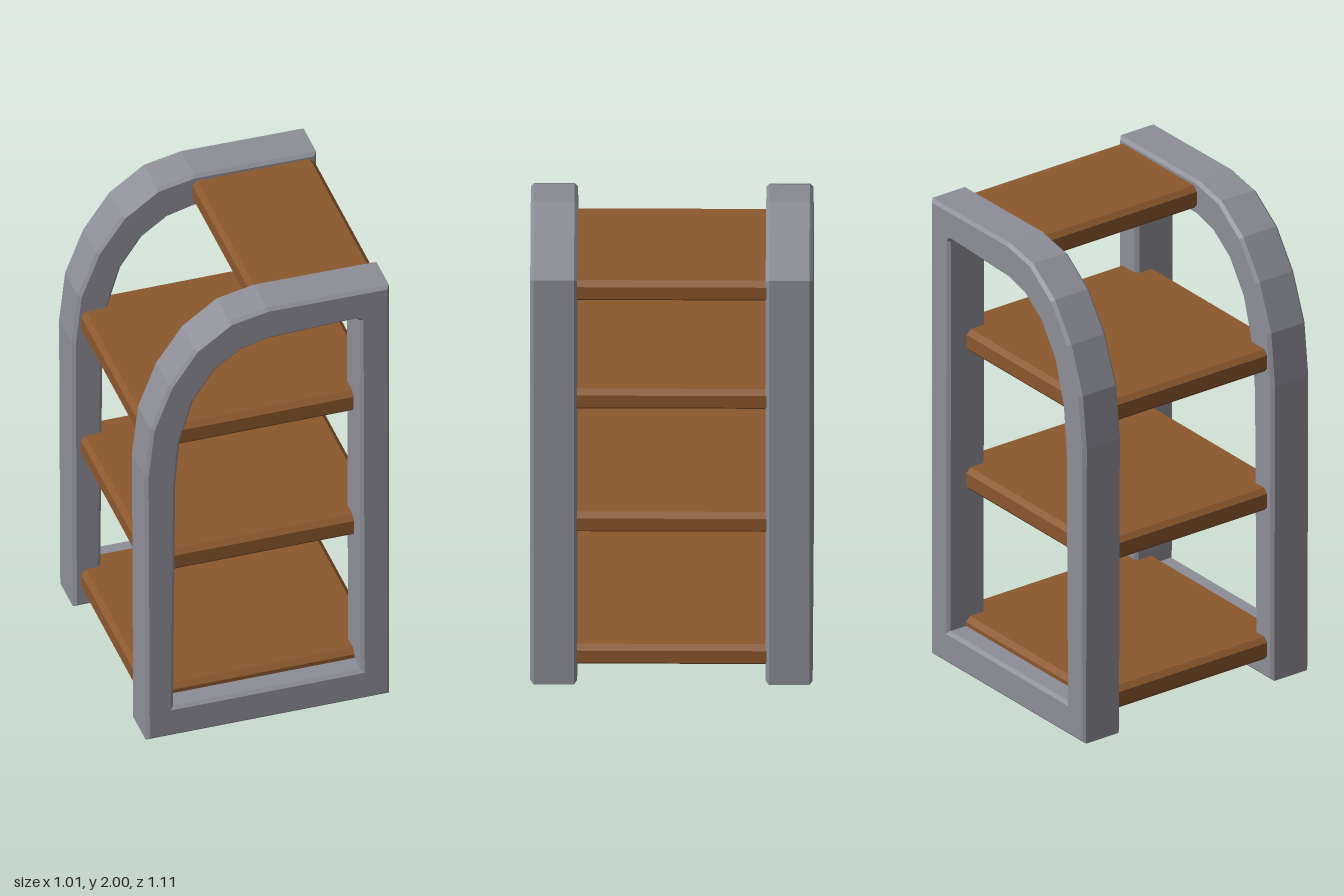
import * as THREE from 'three';

const frameGrey = new THREE.MeshStandardMaterial({ color: 0x8e8e98 });
frameGrey.name = 'frameGrey';
const shelfBrown = new THREE.MeshStandardMaterial({ color: 0x8b572c });
shelfBrown.name = 'shelfBrown';

const points = (list) => list.map(([x, y]) => new THREE.Vector2(x, y));

// Extrusion centred on its depth, with a single chamfer kept inside the outline
function chamferedExtrude(shape, depth, chamfer) {
  const geometry = new THREE.ExtrudeGeometry(shape, {
    depth: depth - 2 * chamfer,
    bevelEnabled: true,
    bevelThickness: chamfer,
    bevelSize: chamfer,
    bevelOffset: -chamfer,
    bevelSegments: 1,
  });
  return geometry.translate(0, 0, chamfer - depth / 2);
}

// Arched side frame with an open middle
function frameGeometry() {
  const shape = new THREE.Shape(points([
    [-0.5, 0], [0.505, 0], [0.505, 1.995], [0, 2], [-0.155, 1.968], [-0.298, 1.865],
    [-0.405, 1.71], [-0.48, 1.515], [-0.505, 1.29],
  ]));
  shape.holes.push(new THREE.Path(points([
    [-0.387, 0.142], [-0.378, 1.23], [-0.36, 1.43], [-0.305, 1.615], [-0.217, 1.745],
    [-0.113, 1.82], [0, 1.85], [0.37, 1.862], [0.383, 1.85], [0.388, 0.142],
  ])));
  return chamferedExtrude(shape, 0.185, 0.013);
}

// Chamfered board lying flat, its ends let into the frames
function shelfGeometry(left, right, length, thickness) {
  const h = length / 2;
  const shape = new THREE.Shape(points([[left, -h], [right, -h], [right, h], [left, h]]));
  return chamferedExtrude(shape, thickness, 0.02).rotateX(-Math.PI / 2);
}

export function createModel() {
  const model = new THREE.Group();
  model.name = 'shelfUnit';

  const frame = frameGeometry();
  for (const [name, z] of [['frontFrame', 0.4625], ['backFrame', -0.4625]]) {
    const mesh = new THREE.Mesh(frame, frameGrey);
    mesh.name = name;
    mesh.position.z = z;
    model.add(mesh);
  }

  // The top board is short, ending where the arch begins
  const shelves = [
    ['bottomShelf', 0.13, -0.47],
    ['lowerShelf', 0.783, -0.47],
    ['upperShelf', 1.39, -0.47],
    ['topShelf', 1.925, -0.01],
  ];
  for (const [name, y, left] of shelves) {
    const mesh = new THREE.Mesh(shelfGeometry(left, 0.495, 0.93, 0.098), shelfBrown);
    mesh.name = name;
    mesh.position.y = y;
    model.add(mesh);
  }
  return model;
}
